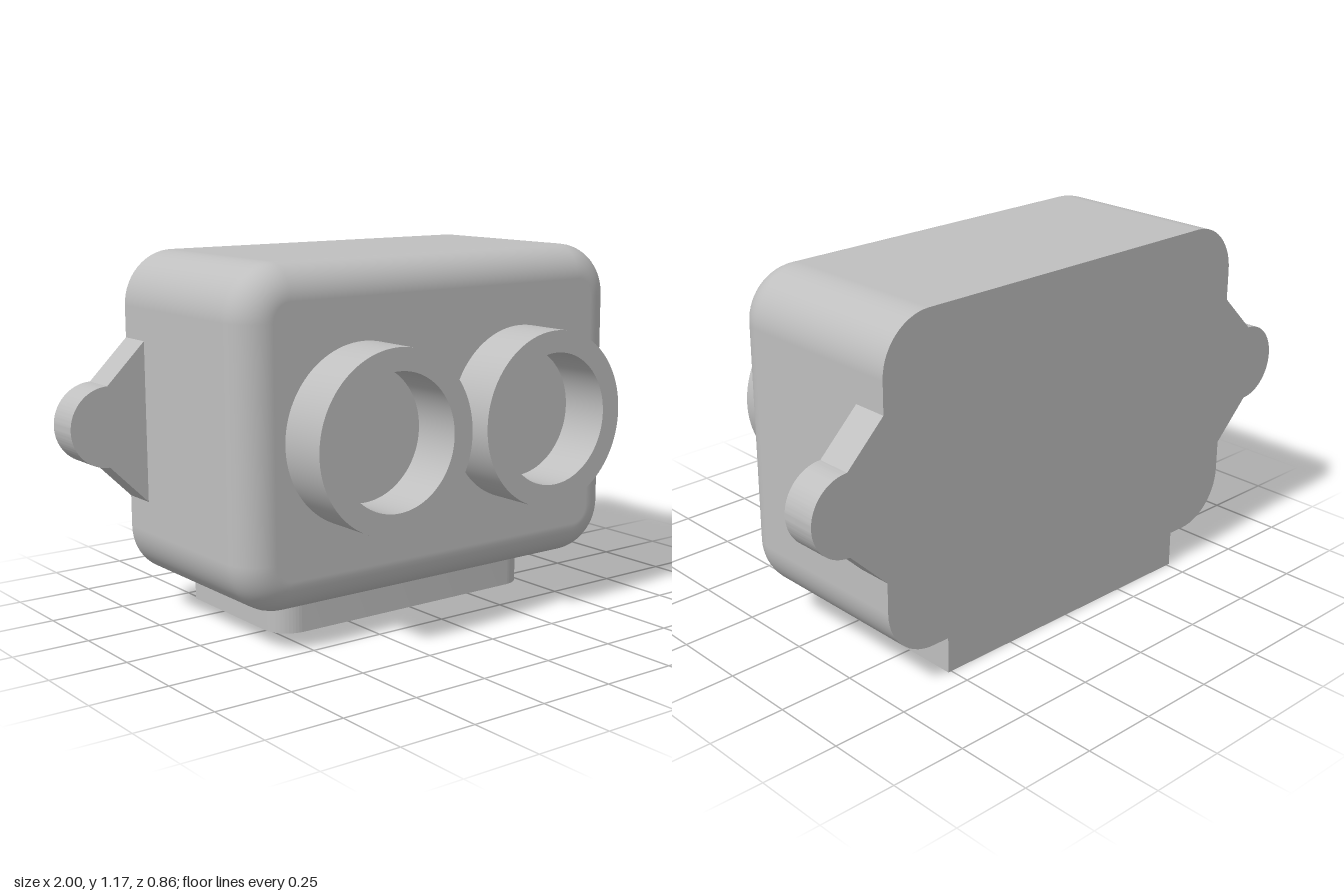
import * as THREE from 'three';
import { toCreasedNormals } from 'three/addons/utils/BufferGeometryUtils.js';

const BACK = -0.43, FRONT = 0.257, MID_Y = 0.647;

// Straight extrusion with smooth curves and sharp edges
function extrude(shape, depth) {
  const g = new THREE.ExtrudeGeometry(shape, { depth, bevelEnabled: false, curveSegments: 48 });
  return toCreasedNormals(g, 0.5);
}

// Housing: rounded rectangle sections, filleted only at the front rim
function housingGeometry(halfW, halfH, corner, fillet) {
  const arc = 14, steps = 12, rings = [[0, BACK, 0]];
  for (let i = 0; i <= steps; i++) {
    const a = (i / steps) * Math.PI / 2;
    rings.push([fillet * (1 - Math.cos(a)), FRONT - fillet + fillet * Math.sin(a), a]);
  }
  const pos = [], nor = [], idx = [];
  const n = 4 * (arc + 1);
  const outline = (inset) => {
    const pts = [];
    for (let q = 0; q < 4; q++) for (let k = 0; k <= arc; k++) {
      const t = (q + k / arc) * Math.PI / 2;
      const cx = (q === 0 || q === 3 ? 1 : -1) * (halfW - corner);
      const cy = (q < 2 ? 1 : -1) * (halfH - corner);
      pts.push([cx + (corner - inset) * Math.cos(t), cy + (corner - inset) * Math.sin(t), t]);
    }
    return pts;
  };
  // wall and fillet
  rings.forEach(([inset, z, a], r) => {
    for (const [x, y, t] of outline(inset)) {
      pos.push(x, y, z);
      nor.push(Math.cos(t) * Math.cos(a), Math.sin(t) * Math.cos(a), Math.sin(a));
    }
    if (r === 0) return;
    for (let i = 0; i < n; i++) {
      const j = (i + 1) % n, p = (r - 1) * n, c = r * n;
      idx.push(p + i, p + j, c + j, p + i, c + j, c + i);
    }
  });
  // flat front and back faces
  for (const [inset, z, s] of [[fillet, FRONT, 1], [0, BACK, -1]]) {
    const base = pos.length / 3;
    pos.push(0, 0, z);
    nor.push(0, 0, s);
    for (const [x, y] of outline(inset)) {
      pos.push(x, y, z);
      nor.push(0, 0, s);
    }
    for (let i = 0; i < n; i++) {
      const a = base + 1 + i, b = base + 1 + (i + 1) % n;
      idx.push(base, s > 0 ? a : b, s > 0 ? b : a);
    }
  }
  const g = new THREE.BufferGeometry();
  g.setAttribute('position', new THREE.Float32BufferAttribute(pos, 3));
  g.setAttribute('normal', new THREE.Float32BufferAttribute(nor, 3));
  g.setIndex(idx);
  return g;
}

export function createModel() {
  const model = new THREE.Group();
  model.name = 'twinTubeSensorHousing';
  const grey = new THREE.MeshStandardMaterial({ name: 'plainGrey', color: 0xbfbfbf });
  const add = (name, geometry, x, y, z) => {
    const mesh = new THREE.Mesh(geometry, grey);
    mesh.name = name;
    mesh.position.set(x, y, z);
    model.add(mesh);
    return mesh;
  };

  add('housing', housingGeometry(0.742, 0.528, 0.17, 0.11), 0, MID_Y, 0);

  // Open tubes on the front
  const ring = new THREE.Shape().absarc(0, 0, 0.284, 0, Math.PI * 2, false);
  ring.holes.push(new THREE.Path().absarc(0, 0, 0.213, 0, Math.PI * 2, true));
  const tube = extrude(ring, 0.43 - FRONT);
  add('leftTube', tube, 0.314, MID_Y, FRONT);
  add('rightTube', tube, -0.314, MID_Y, FRONT);

  // Mounting ears: tapered web ending in a pierced round lug
  const lugX = 0.873, lugR = 0.128, wall = 0.742;
  const ear = new THREE.Shape();
  ear.moveTo(wall, -0.257);
  ear.lineTo(lugX, -lugR);
  ear.absarc(lugX, 0, lugR, -Math.PI / 2, Math.PI / 2, false);
  ear.lineTo(wall, 0.257);
  ear.closePath();
  ear.holes.push(new THREE.Path().absarc(lugX, 0, 0.064, 0, Math.PI * 2, true));
  const earGeometry = extrude(ear, 0.117);
  add('leftEar', earGeometry, 0, MID_Y, BACK);
  // half turn about z mirrors the symmetric ear to the other side
  add('rightEar', earGeometry, 0, MID_Y, BACK).rotation.z = Math.PI;

  // Foot: square at the back, rounded front corners
  const w = 0.512, front = 0.085, r = 0.09;
  const foot = new THREE.Shape();
  foot.moveTo(-w, BACK);
  foot.lineTo(w, BACK);
  foot.lineTo(w, front - r);
  foot.absarc(w - r, front - r, r, 0, Math.PI / 2, false);
  foot.lineTo(-w + r, front);
  foot.absarc(-w + r, front - r, r, Math.PI / 2, Math.PI, false);
  foot.closePath();
  const footGeometry = extrude(foot, 0.12);
  footGeometry.rotateX(Math.PI / 2);
  add('foot', footGeometry, 0, 0.12, 0);

  return model;
}
